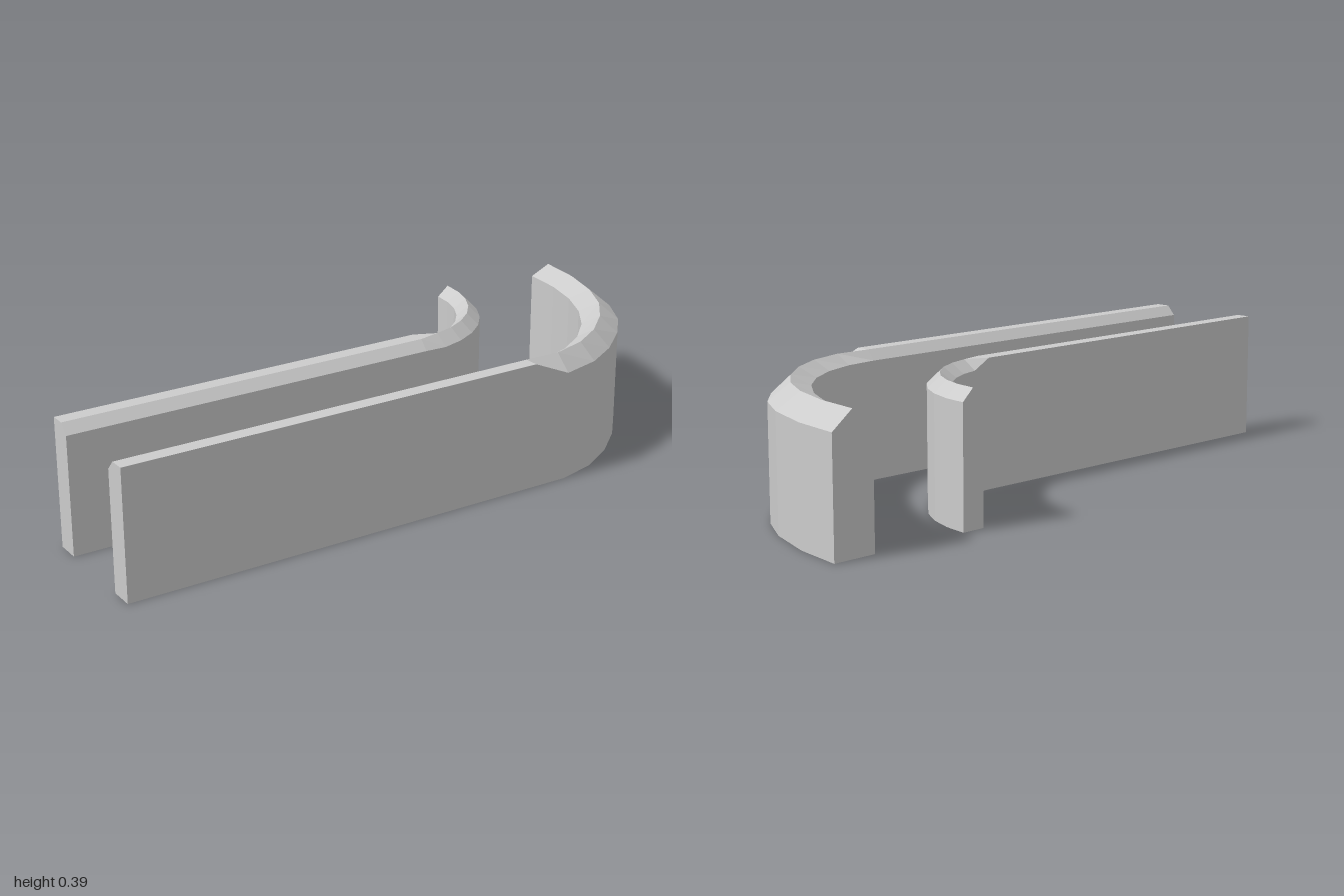
import * as THREE from 'three';

const STEPS = 8;

// One station along a wall: ground positions [x, z] and top heights
// for the concave side, the ridge and the convex side.
const station = (inner, ridge, outer, yIn, yOut) => [
  [inner[0], 0, inner[1]],
  [inner[0], yIn, inner[1]],
  [ridge[0], 0.39, ridge[1]],
  [outer[0], yOut, outer[1]],
  [outer[0], 0, outer[1]],
];

// Point on a quarter ellipse running from the front (+z) round to the side (+x)
const arc = (cx, cz, rx, rz, i) => {
  const a = (i / STEPS) * Math.PI / 2;
  return [cx + rx * Math.sin(a), cz + rz * Math.cos(a)];
};
const mid = (a, b) => [(a[0] + b[0]) / 2, (a[1] + b[1]) / 2];

// Closed loft through the stations, with both ends capped
function loft(name, rings) {
  const pos = [];
  const tri = (a, b, c) => pos.push(...a, ...b, ...c);
  for (let i = 0; i < rings.length - 1; i++) {
    for (let j = 0; j < 5; j++) {
      const k = (j + 1) % 5;
      const a = rings[i][j], b = rings[i][k], c = rings[i + 1][k], d = rings[i + 1][j];
      tri(a, b, c);
      tri(a, c, d);
    }
  }
  const first = rings[0], last = rings[rings.length - 1];
  for (let j = 1; j < 4; j++) {
    tri(first[0], first[j + 1], first[j]);
    tri(last[0], last[j], last[j + 1]);
  }
  const geo = new THREE.BufferGeometry();
  geo.setAttribute('position', new THREE.Float32BufferAttribute(pos, 3));
  geo.computeVertexNormals();
  const mesh = new THREE.Mesh(geo, new THREE.MeshStandardMaterial({ color: 0xcccccc, flatShading: true }));
  mesh.name = name;
  return mesh;
}

export function createModel() {
  const group = new THREE.Group();
  group.name = 'curvedWalls';

  // Outer wall: flat-topped straight run, then a thickening bend with a ridged top
  const bend = [[0.45, 0.358], [0.575, 0.325], [0.685, 0.262], [0.79, 0.173],
    [0.872, 0.08], [0.935, -0.04], [0.982, -0.2], [1, -0.358]];
  const outerRings = [-1, 0.33].map((x) =>
    station([x, 0.285], [x, 0.312], [x, 0.358], 0.36, 0.39));
  bend.forEach((out, i) => {
    const inn = arc(0.33, -0.358, 0.537, 0.643, i + 1);
    outerRings.push(station(inn, mid(inn, out), out, 0.36, 0.338));
  });
  group.add(loft('outerWall', outerRings));

  // Inner wall: even thickness, flat top at the back of the straight run
  const innerRings = [-1, 0.172].map((x) =>
    station([x, -0.043], [x, 0.003], [x, 0.03], 0.39, 0.36));
  for (let i = 1; i <= STEPS; i++) {
    const inn = arc(0.172, -0.358, 0.315, 0.315, i);
    const out = arc(0.172, -0.358, 0.388, 0.388, i);
    innerRings.push(station(inn, mid(inn, out), out, 0.36, 0.355));
  }
  group.add(loft('innerWall', innerRings));

  return group;
}
